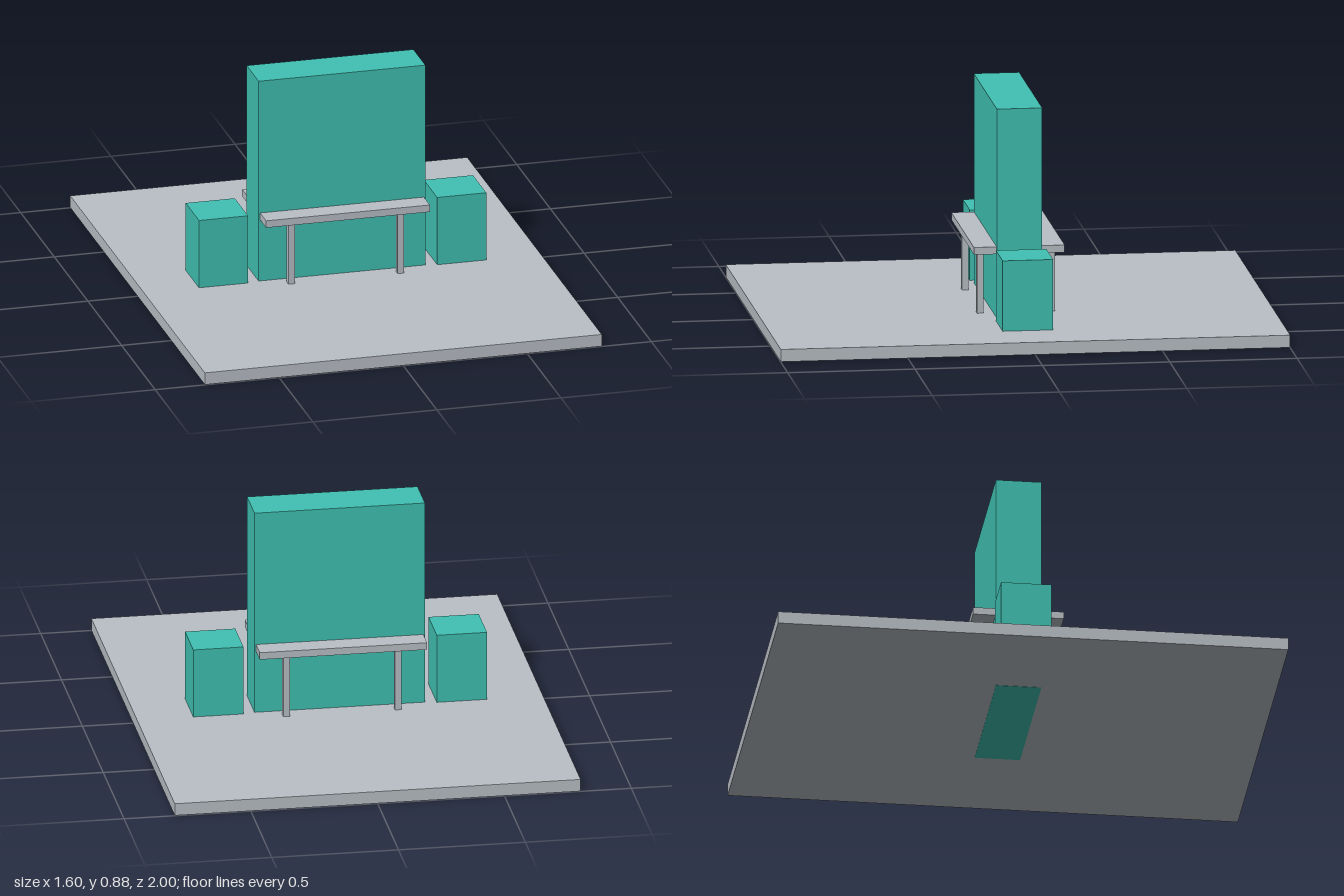
import * as THREE from 'three';

export function createModel() {
  const model = new THREE.Group();
  const teal = new THREE.MeshStandardMaterial({ color: 0x40c1b3 });
  teal.name = 'teal';
  const grey = new THREE.MeshStandardMaterial({ color: 0xbac0c7 });
  grey.name = 'grey';

  // Box spanning the heights y0 to y1, centred on x and z
  function box(name, material, w, d, y0, y1, x = 0, z = 0) {
    const mesh = new THREE.Mesh(new THREE.BoxGeometry(w, y1 - y0, d), material);
    mesh.name = name;
    mesh.position.set(x, (y0 + y1) / 2, z);
    model.add(mesh);
  }

  // Ground slab, a hair above the panel's foot that shows underneath
  box('baseSlab', grey, 1.6, 2, 0.001, 0.05);

  // Tall panel set through the slab
  box('panel', teal, 0.672, 0.178, 0, 0.882);

  // Table top around the panel
  box('tableTop', grey, 0.66, 0.356, 0.304, 0.333);

  for (const side of [-1, 1]) {
    const label = side > 0 ? 'left' : 'right';
    // Side blocks
    box(label + 'Block', teal, 0.198, 0.198, 0.04, 0.33, side * 0.48);
    // Table legs, front and back
    for (const end of [-1, 1]) {
      box(label + (end > 0 ? 'Front' : 'Back') + 'Leg', grey, 0.026, 0.026, 0.04, 0.31, side * 0.22, end * 0.14);
    }
  }
  return model;
}
